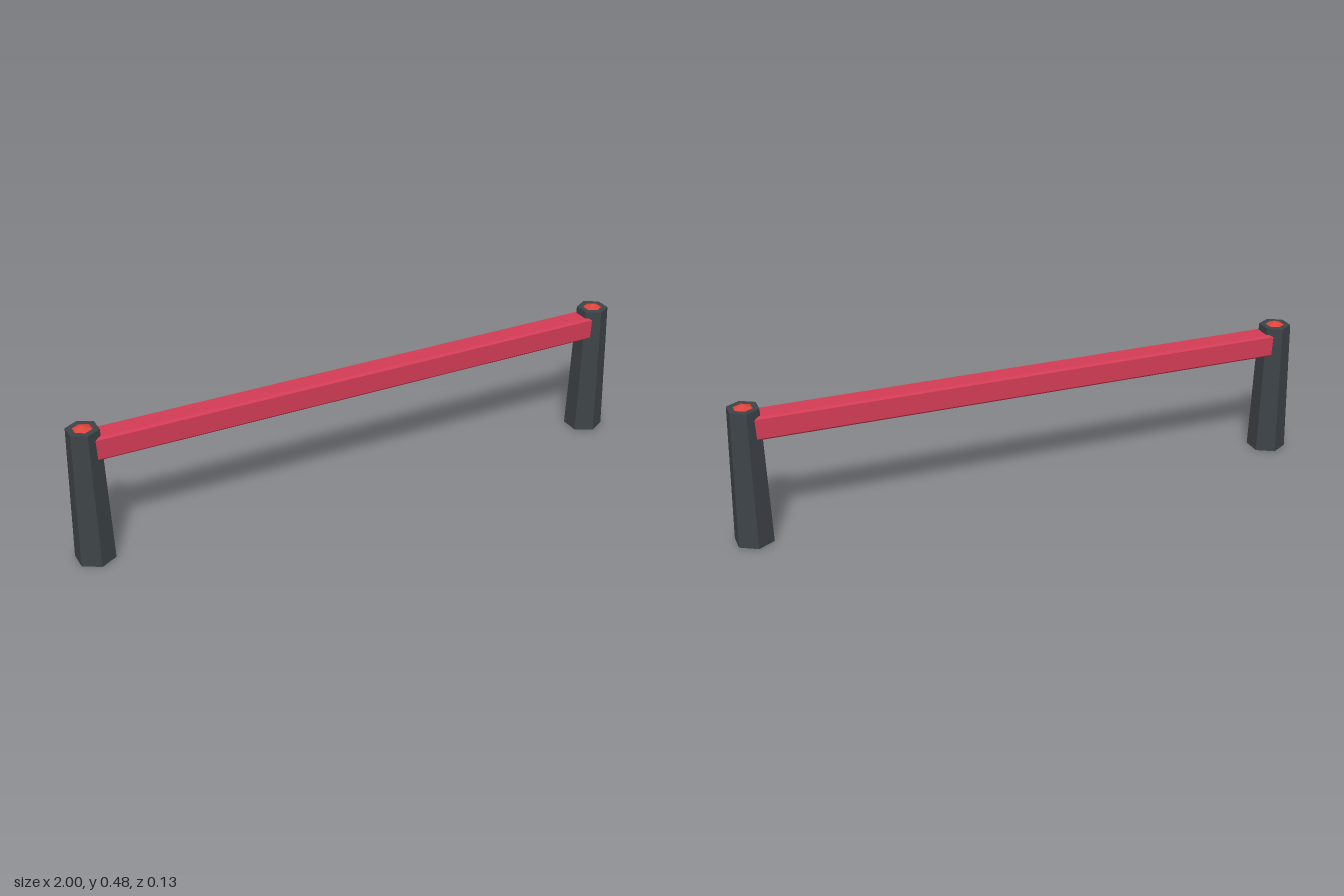
import * as THREE from 'three';

export function createModel() {
  const model = new THREE.Group();
  const postMat = new THREE.MeshStandardMaterial({ color: 0x3d4347, flatShading: true });
  postMat.name = 'charcoal';
  const railMat = new THREE.MeshStandardMaterial({ color: 0xd23c55, flatShading: true });
  railMat.name = 'crimson';
  const capMat = new THREE.MeshStandardMaterial({ color: 0xdc453c, flatShading: true });
  capMat.name = 'signal red';

  const add = (parent, name, geometry, material, x, y, z) => {
    const mesh = new THREE.Mesh(geometry, material);
    mesh.name = name;
    mesh.position.set(x, y, z);
    parent.add(mesh);
    return mesh;
  };

  // Tapered hexagonal posts, each with a low pointed cap
  const postX = 0.942, postH = 0.47;
  for (const side of [1, -1]) {
    const post = new THREE.Group();
    post.name = side > 0 ? 'leftPost' : 'rightPost';
    post.position.x = side * postX;
    add(post, 'postBody', new THREE.CylinderGeometry(0.054, 0.067, postH, 6), postMat, 0, postH / 2, 0);
    add(post, 'postCap', new THREE.ConeGeometry(0.032, 0.013, 6), capMat, 0, postH + 0.0065, 0);
    model.add(post);
  }

  // Square rail with narrow chamfers, running from post to post
  const h = 0.04, c = 0.007, length = 2 * postX;
  const section = new THREE.Shape([
    [h, -h + c], [h, h - c], [h - c, h], [-h + c, h],
    [-h, h - c], [-h, -h + c], [-h + c, -h], [h - c, -h],
  ].map(([x, y]) => new THREE.Vector2(x, y)));
  const railGeo = new THREE.ExtrudeGeometry(section, { depth: length, bevelEnabled: false });
  railGeo.translate(0, 0, -length / 2);
  railGeo.rotateY(Math.PI / 2);
  add(model, 'rail', railGeo, railMat, 0, 0.406, 0);

  return model;
}
